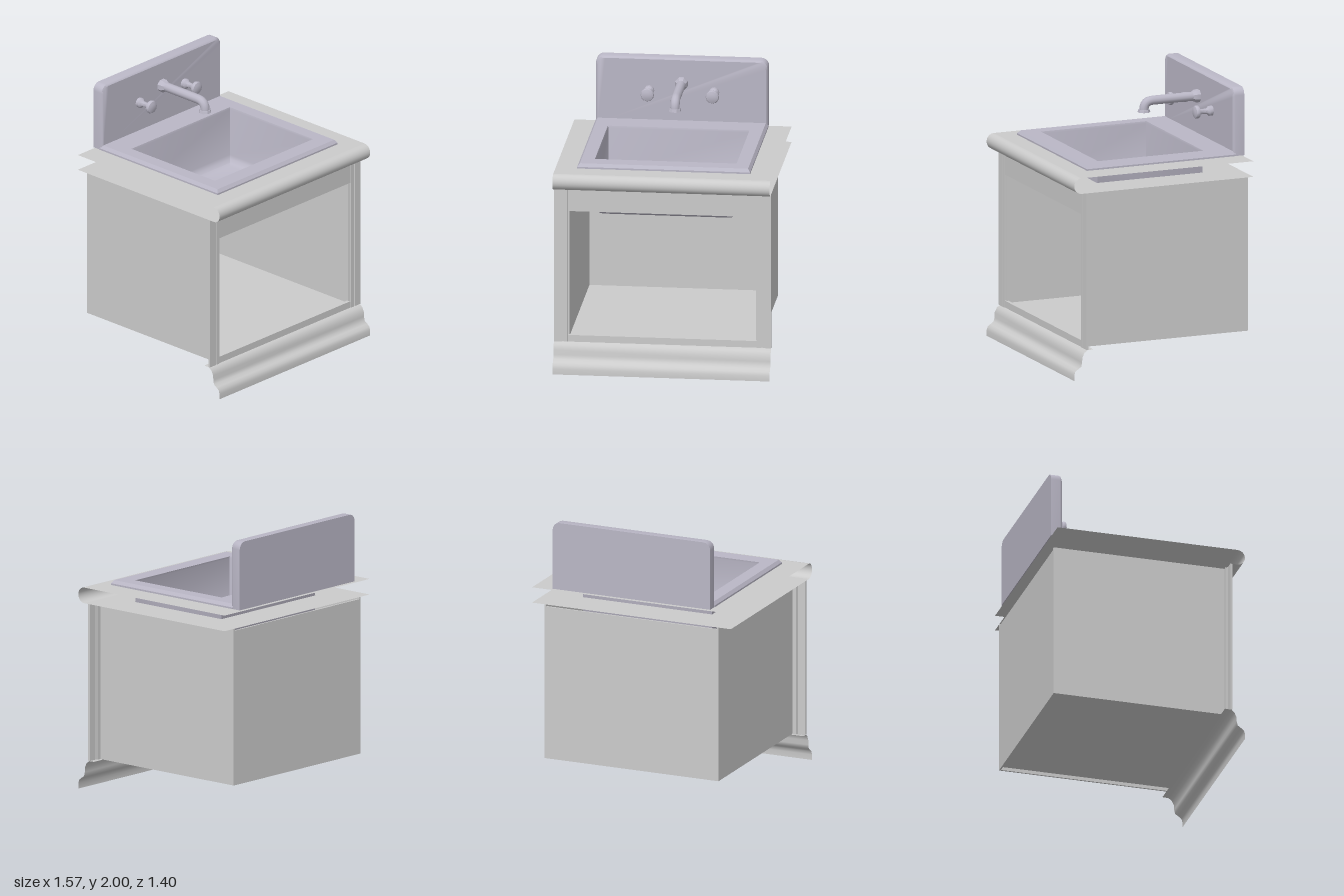
import * as THREE from 'three';
import { toCreasedNormals } from 'three/addons/utils/BufferGeometryUtils.js';

const wood = new THREE.MeshStandardMaterial({ color: 0xcccccc, side: THREE.DoubleSide });
const enamel = new THREE.MeshStandardMaterial({ color: 0xbab7c6, side: THREE.DoubleSide });

const HALF = 0.785;   // half width of counter and plinth
const SIDE = 0.687;   // half width of the carcass
const BACK = -0.705;  // back plane

export function createModel() {
  const model = new THREE.Group();

  const add = (name, geometry, material, parent = model) => {
    const mesh = new THREE.Mesh(geometry, material);
    mesh.name = name;
    parent.add(mesh);
    return mesh;
  };

  // Box given by its limits on each axis
  const box = (name, [x0, x1], [y0, y1], [z0, z1]) => {
    const g = new THREE.BoxGeometry(x1 - x0, y1 - y0, z1 - z0);
    g.translate((x0 + x1) / 2, (y0 + y1) / 2, (z0 + z1) / 2);
    return add(name, g, wood);
  };

  const build = (points, index, crease) => {
    const g = new THREE.BufferGeometry();
    g.setAttribute('position', new THREE.Float32BufferAttribute(points.flat(), 3));
    g.setIndex(index);
    return toCreasedNormals(g, crease);
  };

  // Skin over closed rings of equal length, with optional end caps
  const loft = (rings, { start = false, end = false, crease = 0.6 } = {}) => {
    const n = rings[0].length, index = [], points = rings.flat();
    for (let i = 0; i < rings.length - 1; i++) {
      for (let j = 0; j < n; j++) {
        const a = i * n + j, b = i * n + (j + 1) % n;
        index.push(a, b, b + n, a, b + n, a + n);
      }
    }
    const last = (rings.length - 1) * n;
    for (let j = 1; j < n - 1; j++) {
      if (start) index.push(0, j + 1, j);
      if (end) index.push(last, last + j, last + j + 1);
    }
    return build(points, index, crease);
  };

  // Open strip: a [z, y] profile stretched across the full width
  const strip = (profile) => {
    const points = [], index = [];
    profile.forEach(([z, y], i) => {
      points.push([-HALF, y, z], [HALF, y, z]);
      if (i) {
        const a = 2 * i - 2;
        index.push(a, a + 2, a + 3, a, a + 3, a + 1);
      }
    });
    return build(points, index, 0.9);
  };

  // Carcass
  for (const s of [-1, 1]) {
    const span = (a, b) => (s > 0 ? [a, b] : [-b, -a]);
    const side = s > 0 ? 'left' : 'right';
    box(side + 'Panel', span(SIDE - 0.012, SIDE), [0.22, 1.375], [BACK, 0.59]);
    box(side + 'InnerStile', span(0.685, 0.716), [0.22, 1.375], [0.575, 0.605]);
    box(side + 'OuterStile', span(0.724, HALF), [0.22, 1.375], [0.59, 0.605]);
    box(side + 'StileGroove', span(0.716, 0.724), [0.22, 1.375], [0.585, 0.592]);
  }
  box('backPanel', [-SIDE + 0.012, SIDE - 0.012], [0.22, 1.36], [BACK, BACK + 0.012]);
  box('floor', [-SIDE + 0.012, SIDE - 0.012], [0.245, 0.255], [BACK + 0.012, 0.58]);
  box('topRail', [-0.715, 0.715], [1.2, 1.375], [0.575, 0.6]);
  box('bottomRail', [-0.715, 0.715], [0.22, 0.27], [0.575, 0.6]);

  // Moulded plinth
  add('plinth', strip([[0.55, 0.22], [0.595, 0.218], [0.62, 0.2], [0.637, 0.165], [0.638, 0.13],
    [0.645, 0.1], [0.67, 0.083], [0.692, 0.066], [0.7, 0.04], [0.7, 0]]), wood);

  // Counter: two thin sheets with a cut-out, joined by a rounded nose
  const noseStart = 0.645, nose = [];
  for (let i = 0; i <= 12; i++) {
    const a = Math.PI / 2 - (i / 12) * Math.PI;
    nose.push([noseStart + 0.055 * Math.cos(a), 1.4325 + 0.0575 * Math.sin(a)]);
  }
  add('counterNose', strip(nose), wood);
  const rect = (path, hx, z0, z1) => path.moveTo(-hx, -z1).lineTo(hx, -z1).lineTo(hx, -z0).lineTo(-hx, -z0).closePath();
  const sheet = rect(new THREE.Shape(), HALF, BACK, noseStart);
  sheet.holes.push(rect(new THREE.Path(), 0.512, -0.432, 0.402));
  for (const [name, y] of [['counterTop', 1.49], ['counterUnderside', 1.375]]) {
    add(name, new THREE.ShapeGeometry(sheet).rotateX(-Math.PI / 2).translate(0, y, 0), wood);
  }

  // Sink: rim and basin in one skin; rows are half width, y, back z, front z
  const sinkRings = [
    [0.51, 1.5, -0.43, 0.4], [0.625, 1.5, -0.64, 0.53], [0.625, 1.512, -0.64, 0.53],
    [0.608, 1.535, -0.64, 0.512], [0.512, 1.535, -0.432, 0.394], [0.508, 1.52, -0.428, 0.397],
    [0.508, 1.165, -0.428, 0.397], [0.495, 1.14, -0.415, 0.385], [0.475, 1.121, -0.395, 0.365],
    [0.45, 1.11, -0.37, 0.34],
  ].map(([hx, y, z0, z1]) => [[hx, y, z1], [hx, y, z0], [-hx, y, z0], [-hx, y, z1]]);
  add('sink', loft(sinkRings, { end: true }), enamel);

  // Backsplash: rounded top corners, softened front edge
  const outline = (inset, z) => {
    const w = 0.622 - inset, top = 2 - inset, r = 0.055, ring = [[-w, 1.5, z], [w, 1.5, z]];
    for (const s of [1, -1]) {
      for (let i = 0; i <= 5; i++) {
        const a = (s > 0 ? i / 5 : 1 - i / 5) * Math.PI / 2;
        ring.push([s * (w - r + r * Math.cos(a)), top - r + r * Math.sin(a), z]);
      }
    }
    return ring;
  };
  add('backsplash', loft([outline(0, BACK), outline(0, -0.64), outline(0.004, -0.628), outline(0.014, -0.62)],
    { start: true, end: true }), enamel);

  // Wall tap: mounting collar, bent spout, outlet ring
  const tap = new THREE.Group();
  tap.name = 'tap';
  model.add(tap);
  const path = new THREE.CurvePath();
  const v = (y, z) => new THREE.Vector3(0, y, z);
  path.add(new THREE.LineCurve3(v(1.815, -0.62), v(1.815, -0.265)));
  path.add(new THREE.CubicBezierCurve3(v(1.815, -0.265), v(1.815, -0.215), v(1.8, -0.19), v(1.745, -0.19)));
  add('spout', new THREE.TubeGeometry(path, 32, 0.034, 12), enamel, tap);
  const collar = new THREE.LatheGeometry([[0.034, 0.055], [0.048, 0.03], [0.048, 0]]
    .map(([r, y]) => new THREE.Vector2(r, y)).reverse(), 8, Math.PI / 8);
  add('tapCollar', toCreasedNormals(collar, 0.5).rotateX(Math.PI / 2).translate(0, 1.815, -0.62), enamel, tap);
  const outlet = new THREE.CylinderGeometry(0.04, 0.046, 0.02, 8).rotateY(Math.PI / 8);
  add('outletRing', toCreasedNormals(outlet, 0.5).translate(0, 1.745, -0.19), enamel, tap);

  // Pair of valve handles
  const knobProfile = [[0.037, 0], [0.037, 0.024], [0.02, 0.042], [0.018, 0.08], [0.024, 0.1],
    [0.046, 0.108], [0.049, 0.122], [0.044, 0.134], [0.024, 0.141], [0, 0.142]]
    .map(([r, y]) => new THREE.Vector2(r, y));
  for (const s of [-1, 1]) {
    const knob = toCreasedNormals(new THREE.LatheGeometry(knobProfile, 12), 0.7).rotateX(Math.PI / 2);
    add(s > 0 ? 'leftHandle' : 'rightHandle', knob.translate(s * 0.235, 1.755, -0.62), enamel, tap);
  }

  return model;
}
